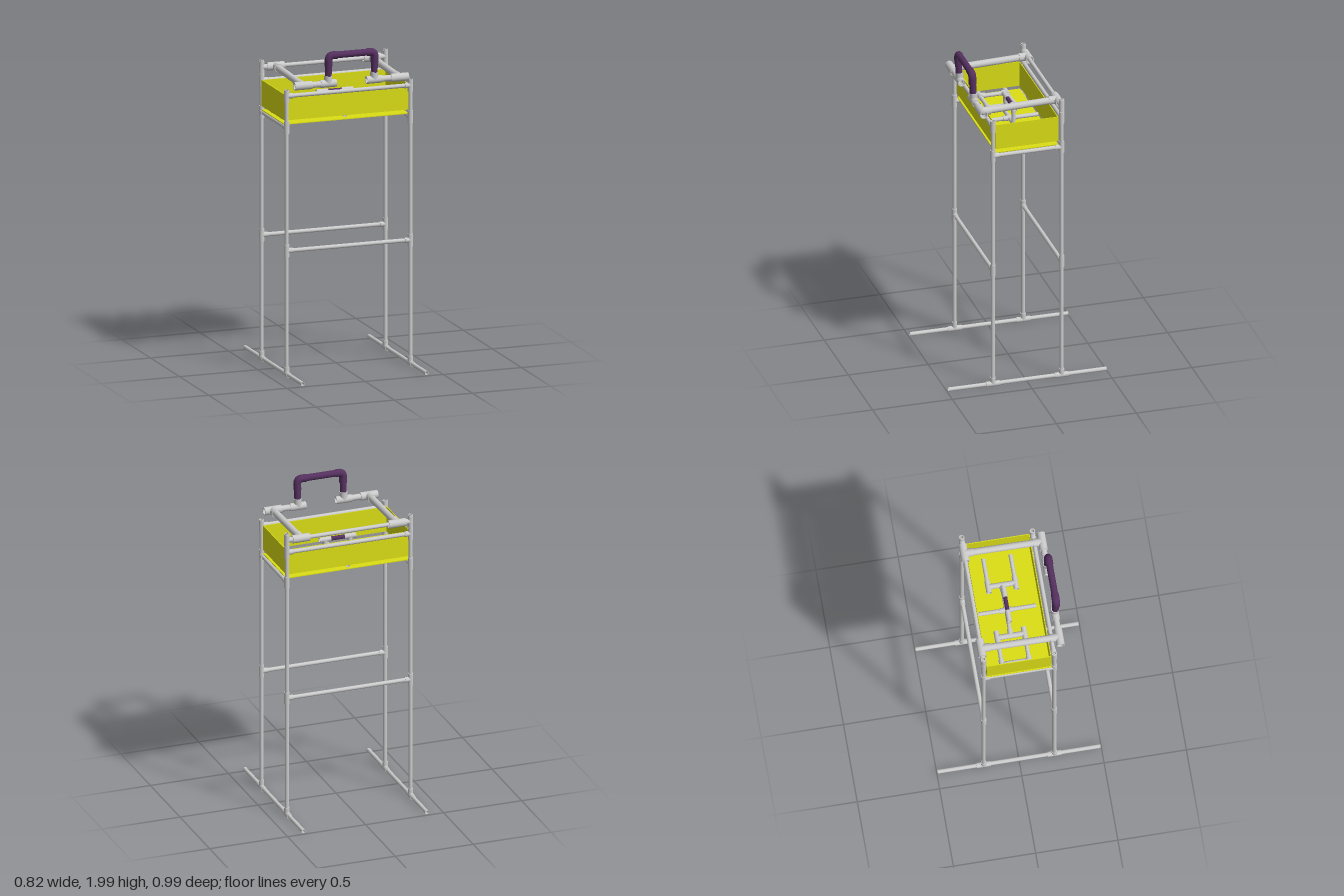
import * as THREE from 'three';
import { mergeGeometries } from 'three/addons/utils/BufferGeometryUtils.js';

const grey = new THREE.MeshStandardMaterial({ color: 0xcccccc });
const yellow = new THREE.MeshStandardMaterial({ color: 0xdcdf16 });
const purple = new THREE.MeshStandardMaterial({ color: 0x55305f });

const R = 0.0125, F = 0.0165; // slim pipe and its fittings
const BIG = 0.021, BIGF = 0.025; // lid arms and their fittings

export function createModel() {
  const model = new THREE.Group();
  const V = (p) => new THREE.Vector3(...p);

  // Hollow pipe between two points
  function pipe(name, a, b, r = R, mat = grey, parent = model) {
    const A = V(a), B = V(b), h = A.distanceTo(B) / 2, ri = r * 0.78;
    const c = [[r, -h], [r, h], [ri, h], [ri, -h]].map((p) => new THREE.Vector2(...p));
    const geo = mergeGeometries(c.map((p, i) => new THREE.LatheGeometry([p, c[(i + 1) % 4]], 24)));
    const mesh = new THREE.Mesh(geo, mat);
    mesh.name = name;
    mesh.position.copy(A).add(B).multiplyScalar(0.5);
    mesh.quaternion.setFromUnitVectors(new THREE.Vector3(0, 1, 0), B.sub(A).normalize());
    parent.add(mesh);
  }

  // Fitting: sleeve of half length along its run, plus a side branch
  function tee(name, at, run, half, branch, r = F, mat = grey) {
    const group = new THREE.Group();
    group.name = name;
    const off = (d, k) => at.map((v, i) => v + d[i] * k);
    pipe('sleeve', off(run, -half), off(run, half), r, mat, group);
    if (branch) pipe('branch', at, off(branch, half), r, mat, group);
    model.add(group);
  }

  function panel(name, size, pos) {
    const mesh = new THREE.Mesh(new THREE.BoxGeometry(...size), yellow);
    mesh.name = name;
    mesh.position.set(...pos);
    model.add(mesh);
  }

  const X = 0.396, Z = 0.215;
  const ex = [1, 0, 0], ey = [0, 1, 0], ez = [0, 0, 1];

  // Feet, legs and side rails
  for (const s of [-1, 1]) {
    const inward = [-s, 0, 0];
    pipe('foot', [s * X, 0.022, -0.495], [s * X, 0.022, 0.495]);
    pipe('sideRail', [s * X, 1.54, -Z], [s * X, 1.54, Z]);
    for (const t of [-1, 1]) {
      const x = s * X, z = t * Z;
      pipe('leg', [x, 0.022, z], [x, t < 0 ? 1.86 : 1.77, z]);
      tee('footTee', [x, 0.022, z], ez, 0.042, ey);
      tee('braceTee', [x, 0.78, z], ey, 0.038, inward);
      tee('sideRailTee', [x, 1.54, z], ey, 0.038, [0, 0, -t]);
      tee('topRailTee', [x, 1.735, z], ey, 0.038, inward);
      if (t < 0) tee('hingeTee', [x, 1.815, z], ey, 0.038, inward);
    }
  }

  // Cross bars, front and back
  for (const z of [-Z, Z]) {
    pipe('brace', [-X, 0.78, z], [X, 0.78, z]);
    pipe('topRail', [-X, 1.735, z], [X, 1.735, z]);
  }
  pipe('hingeBar', [-X, 1.815, -Z], [X, 1.815, -Z]);

  // Tray walls, standing just clear of the floor
  for (const s of [-1, 1]) {
    panel('trayLongWall', [0.796, 0.16, 0.005], [-0.005, 1.66, s * 0.194]);
    panel('trayEndWall', [0.005, 0.16, 0.388], [-0.005 + s * 0.3955, 1.66, 0]);
  }
  panel('trayFloor', [0.796, 0.005, 0.392], [-0.005, 1.556, 0]);

  // Swinging lid arms with the front tubes
  const fz = 0.26, fy = 1.802;
  for (const s of [-1, 1]) {
    const x = s * 0.308;
    pipe('lidArm', [x, 1.815, -Z], [x, fy, fz], BIG);
    tee('armHingeTee', [x, 1.815, -Z], ex, 0.055, ez, BIGF);
    tee('armFrontTee', [x, fy, fz], ex, 0.055, [0, 0, -1], BIGF);
    pipe('lidFrontTube', [s * 0.3, fy, fz], [s * 0.11, fy, fz], 0.0185);
    tee('handleTee', [s * 0.147, fy, fz], ex, 0.05, ey, 0.0235);
  }

  // Purple handle: one bent tube with thicker elbows
  const hy = 1.976, hz = 0.268, hx = 0.147, bend = 0.03;
  function tube(name, curve, r) {
    const mesh = new THREE.Mesh(new THREE.TubeGeometry(curve, 16, r, 20), purple);
    mesh.name = name;
    model.add(mesh);
  }
  pipe('handleGrip', [-0.1, hy, hz], [0.1, hy, hz], 0.0205, purple);
  for (const s of [-1, 1]) {
    pipe('handlePost', [s * hx, 1.82, 0.262], [s * hx, 1.93, 0.266], 0.0205, purple);
    const elbow = new THREE.CurvePath();
    elbow.add(new THREE.LineCurve3(V([s * hx, 1.91, 0.266]), V([s * hx, hy - bend, hz])));
    elbow.add(new THREE.QuadraticBezierCurve3(V([s * hx, hy - bend, hz]), V([s * hx, hy, hz]), V([s * (hx - bend), hy, hz])));
    elbow.add(new THREE.LineCurve3(V([s * (hx - bend), hy, hz]), V([s * 0.092, hy, hz])));
    tube('handleElbow', elbow, 0.0238);
  }

  // Pipe rack lying on the tray floor
  const py = 1.575, cz = -0.011, z0 = -0.094, z1 = 0.072;
  pipe('rackLongPipe', [-0.005, py, -0.19], [-0.005, py, 0.17]);
  tee('rackCross', [-0.005, py, cz], ez, 0.04, null);
  pipe('rackCenterPipe', [-0.17, py, cz], [0.16, py, cz]);
  for (const [x, out, end] of [[-0.17, -1, -0.34], [0.158, 1, 0.338]]) {
    pipe('rackSpreader', [x, py, z0], [x, py, z1], 0.0155);
    tee('rackSpreaderTee', [x, py, cz], ez, 0.04, [-out, 0, 0]);
    for (const z of [z0, z1]) {
      tee('rackTee', [x, py, z], ex, 0.04, [0, 0, z < 0 ? 1 : -1]);
      pipe('rackProng', [x, py, z], [end, py, z]);
    }
  }
  pipe('rackEndBar', [-0.34, py, z0], [-0.34, py, z1]);
  for (const z of [z0, z1]) tee('rackEndTee', [-0.346, py, z], ex, 0.032, [0, 0, z < 0 ? 1 : -1]);

  // Small raised grip over the rack
  for (const s of [-1, 1]) {
    const x = -0.005 + s * 0.08;
    pipe('gripPost', [x, py, cz], [x, 1.685, cz]);
    tee('gripTee', [x, 1.685, cz], ex, 0.036, [0, -1, 0], 0.0155);
  }
  pipe('gripBar', [-0.05, 1.685, cz], [0.037, 1.685, cz], R, purple);

  return model;
}
